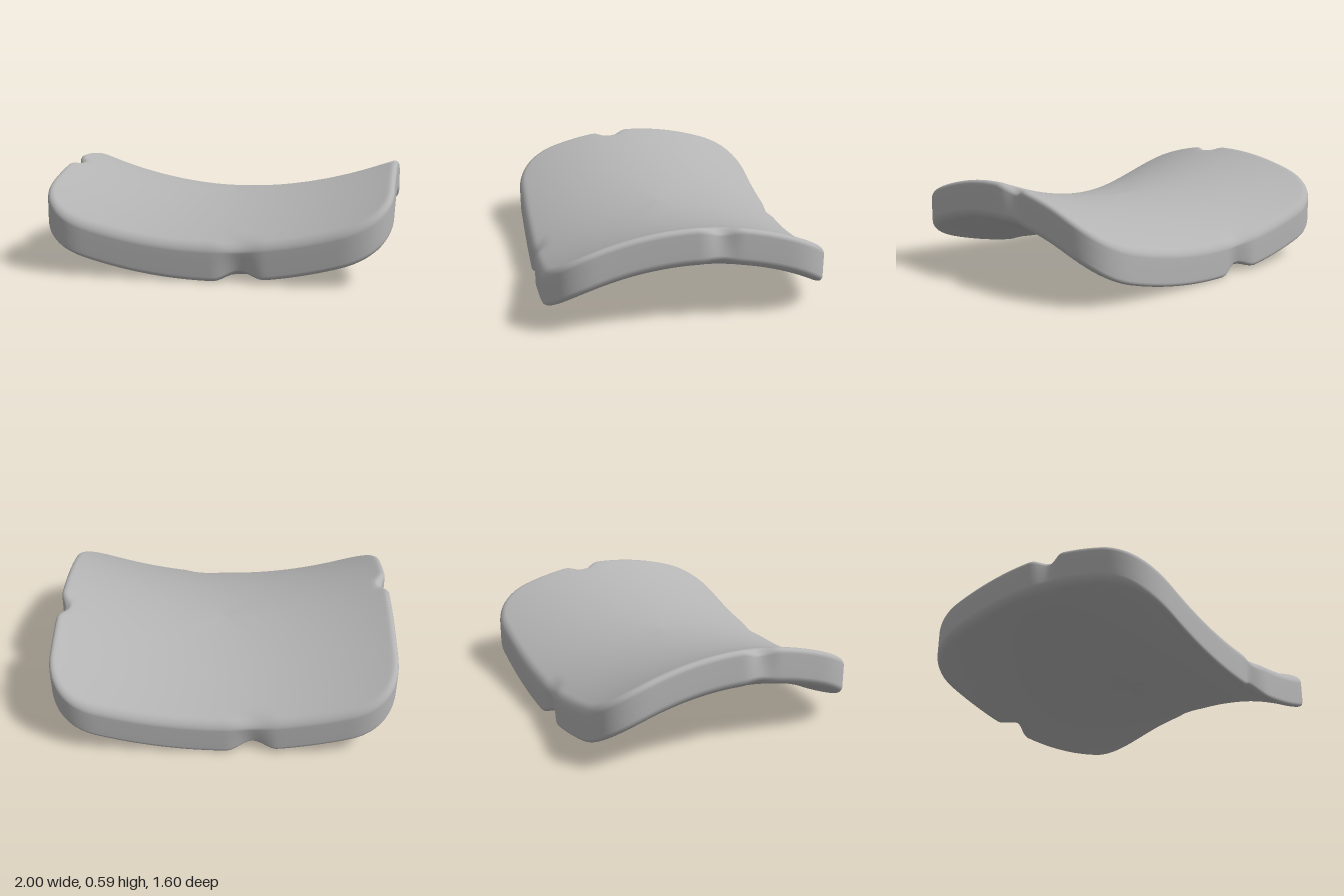
import * as THREE from 'three';

const HX = 1, HZ = 0.8, THICK = 0.215, FILLET = 0.04;

// Rounded rectangle outline in x/z with soft corners, as evenly spaced points
function outline(count) {
  const cx = 0.28, cz = 0.28;
  const s = new THREE.Shape();
  s.moveTo(HX, -HZ + cz);
  s.lineTo(HX, HZ - cz);
  s.quadraticCurveTo(HX, HZ, HX - cx, HZ);
  s.lineTo(-HX + cx, HZ);
  s.quadraticCurveTo(-HX, HZ, -HX, HZ - cz);
  s.lineTo(-HX, -HZ + cz);
  s.quadraticCurveTo(-HX, -HZ, -HX + cx, -HZ);
  s.lineTo(HX - cx, -HZ);
  s.quadraticCurveTo(HX, -HZ, HX, -HZ + cz);
  return s.getSpacedPoints(count).slice(0, count);
}

// Cross-section from top centre, round the rim, to bottom centre
function section() {
  const inner = [0, 0.15, 0.3, 0.45, 0.6, 0.72, 0.82, 0.89, 0.93, 0.96, 0.985];
  const top = inner.map(scale => ({ scale, inset: FILLET, h: THICK }));
  for (let i = 0; i <= 6; i++) {
    const a = (i / 6) * Math.PI / 2;
    top.push({ scale: 1, inset: FILLET * (1 - Math.sin(a)), h: THICK - FILLET * (1 - Math.cos(a)) });
  }
  const bottom = top.map(p => ({ ...p, h: THICK - p.h })).reverse();
  const wall = [0.67, 0.33].map(t => ({ scale: 1, inset: 0, h: FILLET + t * (THICK - 2 * FILLET) }));
  return [...top, ...wall, ...bottom];
}

const bump = (d, width) => Math.abs(d) < width ? 0.5 + 0.5 * Math.cos(Math.PI * d / width) : 0;

// Chipped dents: side edges lose their upper rim, front and back their lower rim
function dent(p, h) {
  const t = h / THICK;
  for (const s of [1, -1]) {
    const side = bump(p.z + s * 0.14, 0.12) * bump(HX - s * p.x, 0.09);
    p.x -= s * side * (0.008 + 0.03 * t);
    p.y += side * (0.012 - 0.05 * t);
    const end = bump(p.x - s * 0.17, 0.15) * bump(HZ - s * p.z, 0.1);
    p.z -= s * end * (0.008 + 0.03 * (1 - t));
    p.y += end * (0.05 * (1 - t) - 0.015 * t);
  }
}

function slabGeometry() {
  const pts = outline(288), n = pts.length, rings = section();
  const pos = [], index = [];
  rings.forEach(({ scale, inset, h }, i) => {
    for (let j = 0; j < n; j++) {
      const tangent = pts[(j + 1) % n].clone().sub(pts[(j + n - 1) % n]).normalize();
      const x = (pts[j].x - tangent.y * inset) * scale;
      const z = (pts[j].y + tangent.x * inset) * scale;
      // Saddle: rises along x, falls along z
      const p = new THREE.Vector3(x, 0.19 + 0.2 * x * x - 0.31 * z * z + h, z);
      dent(p, h);
      pos.push(p.x, p.y, p.z);
      if (i < rings.length - 1) {
        const a = i * n + j, b = i * n + (j + 1) % n;
        index.push(a, b, a + n, b, b + n, a + n);
      }
    }
  });
  const g = new THREE.BufferGeometry();
  g.setAttribute('position', new THREE.Float32BufferAttribute(pos, 3));
  g.setIndex(index);
  g.computeBoundingBox();
  g.translate(0, -g.boundingBox.min.y, 0);
  g.computeVertexNormals();
  return g;
}

export function createModel() {
  const group = new THREE.Group();
  group.name = 'saddleSlab';
  const grey = new THREE.MeshStandardMaterial({ color: 0xb4b4b4 });
  grey.name = 'plain grey';
  const slab = new THREE.Mesh(slabGeometry(), grey);
  slab.name = 'curvedSlab';
  group.add(slab);
  return group;
}
